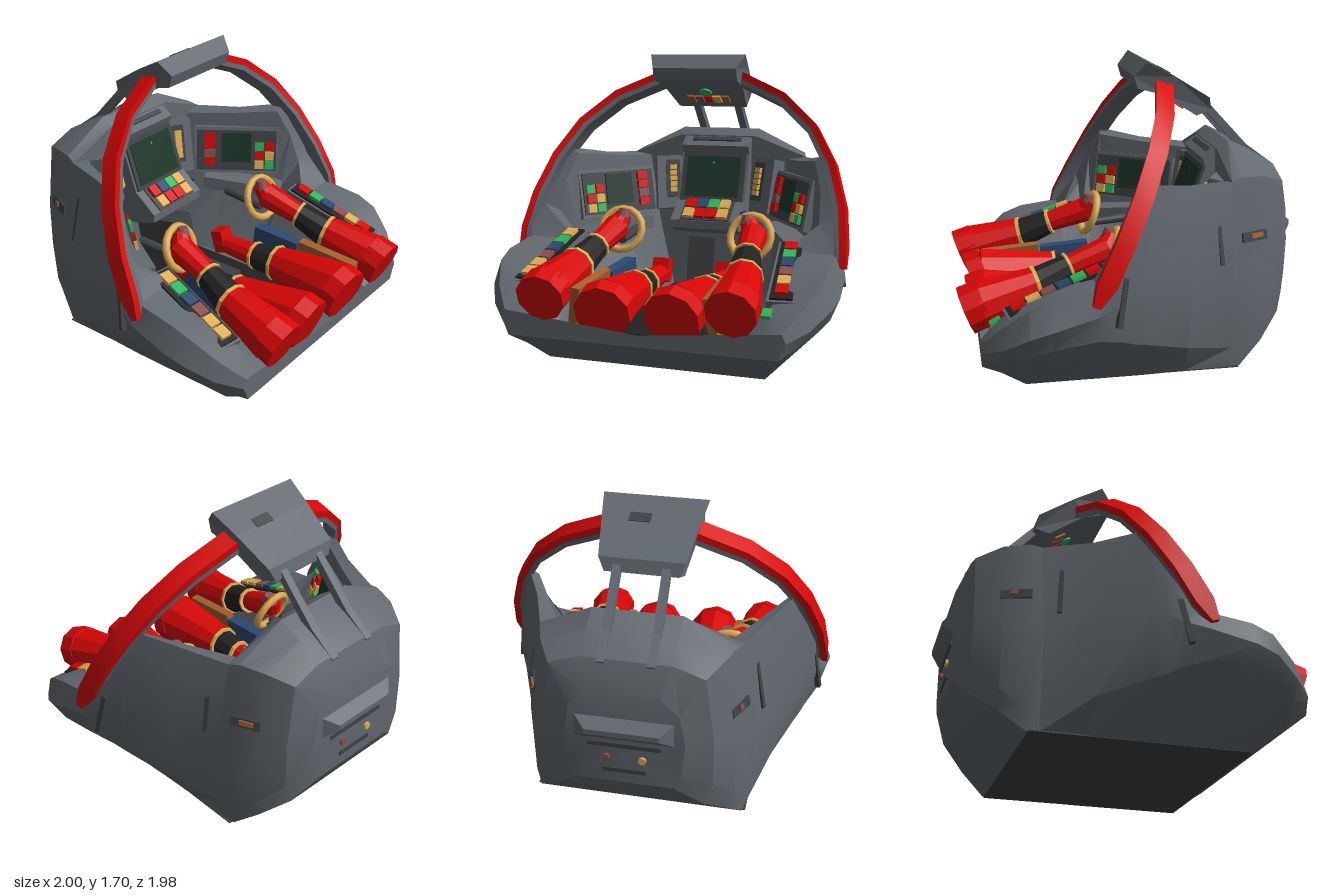
import * as THREE from 'three';
import { toCreasedNormals } from 'three/addons/utils/BufferGeometryUtils.js';

const paint = (name, color) => {
  const m = new THREE.MeshStandardMaterial({ color });
  m.name = name;
  return m;
};
const M = {
  hull: paint('hull grey', 0x62696f), dark: paint('dark grey', 0x3f4245),
  red: paint('red', 0xd80606), black: paint('black', 0x222222),
  gold: paint('gold', 0xe0ae55), brown: paint('brown', 0xa4622f),
  blue: paint('blue', 0x2c4a72), green: paint('green', 0x2fb85c),
  screen: paint('screen green', 0x1c3629), mauve: paint('dusky pink', 0x8c4f4f),
};

function mesh(parent, name, geo, mat, pos = [0, 0, 0], rot = [0, 0, 0]) {
  const m = new THREE.Mesh(geo, mat);
  m.name = name;
  m.position.set(...pos);
  m.rotation.set(...rot, 'YXZ');
  parent.add(m);
  return m;
}
const box = (parent, name, size, mat, pos, rot) => mesh(parent, name, new THREE.BoxGeometry(...size), mat, pos, rot);
function group(parent, name, pos = [0, 0, 0], rot = [0, 0, 0]) {
  const g = new THREE.Group();
  g.name = name;
  g.position.set(...pos);
  g.rotation.set(...rot, 'YXZ');
  parent.add(g);
  return g;
}

// Skin over closed rings of [x, y, z], turned outward by signed volume
function loft(rings, caps = [true, true]) {
  const n = rings[0].length, pos = rings.flat(), idx = [];
  for (let i = 0; i + 1 < rings.length; i++) for (let j = 0; j < n; j++) {
    const a = i * n + j, b = i * n + (j + 1) % n;
    idx.push(a, a + n, b + n, a, b + n, b);
  }
  [0, rings.length - 1].forEach((r, e) => {
    if (!caps[e]) return;
    const c = pos.length;
    pos.push([0, 1, 2].map(k => rings[r].reduce((s, p) => s + p[k], 0) / n));
    for (let j = 0; j < n; j++) {
      const a = r * n + j, b = r * n + (j + 1) % n;
      idx.push(...(e ? [c, b, a] : [c, a, b]));
    }
  });
  const v = pos.map(p => new THREE.Vector3(...p));
  let vol = 0;
  for (let i = 0; i < idx.length; i += 3) vol += v[idx[i]].dot(v[idx[i + 1]].clone().cross(v[idx[i + 2]]));
  if (vol < 0) idx.reverse();
  const g = new THREE.BufferGeometry();
  g.setAttribute('position', new THREE.Float32BufferAttribute(pos.flat(), 3));
  g.setIndex(idx);
  return toCreasedNormals(g, 0.4);
}
// Section row: z, then x, y pairs of the right half, mirrored into a ring
function section([z, ...xy]) {
  const half = [];
  for (let i = 0; i < xy.length; i += 2) half.push([xy[i], xy[i + 1], z]);
  return [...half, ...half.slice().reverse().map(([x, y]) => [-x, y, z])];
}
// Side profile of [z, y] points extruded across x
function slab(profile, width) {
  const s = new THREE.Shape(profile.map(p => new THREE.Vector2(...p)));
  return new THREE.ExtrudeGeometry(s, { depth: width, bevelEnabled: false }).rotateY(-Math.PI / 2).translate(width / 2, 0, 0);
}
// Faceted limb segment between two points
function limb(parent, name, p, q, r1, r2, mat) {
  const a = new THREE.Vector3(...p), d = new THREE.Vector3(...q).sub(a);
  const g = toCreasedNormals(new THREE.CylinderGeometry(r2, r1, d.length(), 10), 0.3);
  const m = mesh(parent, name, g, mat);
  m.position.copy(a).addScaledVector(d, 0.5);
  m.quaternion.setFromUnitVectors(new THREE.Vector3(0, 1, 0), d.normalize());
}
// Grid of coloured keys on a panel facing local z
function keys(parent, cols, rows, dx, dy, x0, y0, mats) {
  for (let r = 0; r < rows; r++) for (let c = 0; c < cols; c++)
    box(parent, 'key', [dx * 0.86, dy * 0.86, 0.025], mats[(r * cols + c) % mats.length],
      [x0 + (c - (cols - 1) / 2) * dx, y0 + ((rows - 1) / 2 - r) * dy, 0.015]);
}

function buildHull(root) {
  const tub = [
    [0.88, 0.76, 0.18, 0.78, 0.23, 0.8, 0.27, 0.78, 0.32, 0.68, 0.3, 0.5, 0.21, 0.45, 0.2],
    [0.775, 0.7, 0.11, 0.84, 0.23, 0.9, 0.32, 0.87, 0.43, 0.7, 0.42, 0.5, 0.27, 0.45, 0.19],
    [0.64, 0.63, 0, 0.92, 0.29, 0.98, 0.4, 0.93, 0.54, 0.68, 0.5, 0.52, 0.34, 0.45, 0.18],
    [0.52, 0.63, 0, 0.95, 0.32, 1, 0.44, 0.94, 0.585, 0.66, 0.54, 0.52, 0.36, 0.45, 0.18],
    [0.28, 0.63, 0, 0.94, 0.35, 0.98, 0.5, 0.93, 0.62, 0.64, 0.62, 0.54, 0.42, 0.45, 0.18],
    [0.14, 0.63, 0, 0.88, 0.31, 0.93, 0.55, 0.91, 0.8, 0.8, 0.76, 0.66, 0.58, 0.42, 0.18],
    [0.07, 0.63, 0, 0.85, 0.28, 0.91, 0.58, 0.86, 0.97, 0.79, 0.94, 0.71, 0.6, 0.41, 0.18],
    [0, 0.63, 0, 0.82, 0.26, 0.89, 0.6, 0.8, 1.135, 0.74, 1.1, 0.71, 0.62, 0.4, 0.18],
    [-0.25, 0.62, 0, 0.72, 0.18, 0.77, 0.6, 0.67, 1.09, 0.6, 1.07, 0.56, 0.64, 0.36, 0.18],
    [-0.515, 0.61, 0, 0.62, 0.12, 0.655, 0.55, 0.57, 1.07, 0.46, 1.05, 0.4, 0.64, 0.3, 0.18],
  ];
  mesh(root, 'cockpit tub', loft(tub.map(section), [true, false]), M.hull);
  const nose = [
    [-0.515, 0.61, 0, 0.62, 0.12, 0.655, 0.55, 0.57, 1.07, 0.25, 1.19],
    [-0.58, 0.6, 0, 0.61, 0.12, 0.635, 0.55, 0.55, 1.09, 0.25, 1.235],
    [-0.72, 0.54, 0.12, 0.57, 0.22, 0.58, 0.6, 0.5, 1.08, 0.25, 1.17],
    [-0.855, 0.42, 0.24, 0.47, 0.38, 0.47, 0.65, 0.42, 1.03, 0.25, 1.09],
    [-0.925, 0.27, 0.37, 0.31, 0.45, 0.33, 0.65, 0.3, 0.83, 0.2, 0.92],
  ];
  mesh(root, 'nose cowl', loft(nose.map(section)), M.hull);
  box(root, 'floor mat', [0.6, 0.02, 1.25], M.black, [0, 0.2, 0.12]);
  box(root, 'base plate', [1.24, 0.006, 1.2], M.dark, [0, 0.001, 0.03]);
  // Nose details
  mesh(root, 'nose ridge', loft([section([-0.9, 0.3, 0.62, 0.3, 0.8]), section([-0.985, 0.2, 0.7, 0.2, 0.73])]), M.hull);
  box(root, 'nose slot', [0.4, 0.025, 0.02], M.dark, [0, 0.61, -0.922]);
  box(root, 'lower slot', [0.24, 0.025, 0.02], M.dark, [0, 0.45, -0.922]);
  [[0.1, M.mauve], [-0.1, M.gold]].forEach(([x, m]) =>
    mesh(root, 'nose lamp', new THREE.CylinderGeometry(0.022, 0.022, 0.03, 8), m, [x, 0.53, -0.925], [Math.PI / 2, 0, 0]));
  for (const s of [1, -1]) {
    const yaw = s * 0.4, lean = s * 0.2;
    box(root, 'side slot', [0.02, 0.28, 0.025], M.dark, [s * 0.652, 0.77, -0.43], [0, yaw, lean]);
    box(root, 'side intake', [0.02, 0.055, 0.17], M.dark, [s * 0.575, 0.76, -0.65], [0, yaw, lean]);
    box(root, 'intake lamp', [0.03, 0.025, s > 0 ? 0.08 : 0.035], s > 0 ? M.brown : M.mauve,
      [s * 0.577, 0.765, -0.66], [0, yaw, lean]);
    box(root, 'hinge plate', [0.03, 0.26, 0.03], M.dark, [s * 0.93, 0.55, 0.16], [-0.2, s * 0.3, s * 0.1]);
  }
}

function buildCanopy(root) {
  // Arch halves: red outer band with a grey lining
  const path = [[0.965, 0.55], [0.96, 0.66], [0.93, 0.86], [0.85, 1.08], [0.72, 1.28], [0.52, 1.445], [0.25, 1.56]];
  const band = (s, outer, inner) => path.map(([x, y], i) => {
    const a = path[Math.max(i - 1, 0)], b = path[Math.min(i + 1, path.length - 1)];
    const n = new THREE.Vector2(b[1] - a[1], a[0] - b[0]).normalize();
    const z = 0.325 - (y - 0.5) * 0.5, w = i === 0 ? 0.02 : 0.05;
    return [[outer, -w], [outer, w], [inner, w], [inner, -w]].map(([o, d]) =>
      [s * (x + n.x * o), y + n.y * o + d * 0.35, z + d]);
  });
  for (const s of [1, -1]) {
    mesh(root, 'arch band', loft(band(s, 0.024, -0.016)), M.red);
    mesh(root, 'arch lining', loft(band(s, -0.016, -0.045)), M.hull);
    mesh(root, 'rear strut', slab([[-0.44, 1.43], [-0.47, 1.46], [-0.72, 1.19], [-0.87, 1.08], [-0.85, 1.04], [-0.69, 1.15]], 0.045)
      .translate(s * 0.135, 0, 0), M.hull);
  }
  // Overhead box: narrowed toward the rear, with a slimmer underside
  const head = slab([[-0.03, 1.62], [-0.1, 1.7], [-0.26, 1.615], [-0.47, 1.485], [-0.49, 1.41], [-0.4, 1.38], [-0.2, 1.51], [-0.05, 1.55]], 2);
  const p = head.attributes.position;
  for (let i = 0; i < p.count; i++) {
    const z = p.getZ(i), under = p.getY(i) < 1.66 + (z + 0.1) * 0.56;
    const w = 0.3 + Math.min(z + 0.08, 0) * 0.16;
    p.setX(i, p.getX(i) * (z > -0.08 ? 0.26 : under ? w - 0.03 : w));
  }
  head.computeVertexNormals();
  mesh(root, 'overhead box', head, M.hull);
  const g = group(root, 'overhead panel', [0, 1.458, -0.309], [0.995, 0, 0]);
  box(g, 'panel back', [0.32, 0.18, 0.03], M.dark);
  keys(g, 5, 1, 0.055, 0.08, 0, -0.02, [M.brown, M.mauve, M.red, M.gold, M.brown]);
  mesh(g, 'scope', new THREE.CylinderGeometry(0.04, 0.04, 0.03, 10), M.green, [0, 0.055, 0.01], [Math.PI / 2, 0, 0]);
  box(root, 'top vent', [0.12, 0.008, 0.06], M.dark, [0.06, 1.626, -0.24], [-0.5, 0, 0]);
}

function buildInstruments(root) {
  // Centre console with main screen
  mesh(root, 'centre console', slab([[-0.54, 1.2], [-0.44, 1.13], [-0.46, 1.08], [-0.36, 0.79], [-0.22, 0.68], [-0.22, 0.63], [-0.3, 0.6], [-0.54, 0.55]], 0.44), M.hull);
  box(root, 'hood slot', [0.32, 0.03, 0.02], M.dark, [0, 1.165, -0.49], [-0.96, 0, 0]);
  box(root, 'console side plate', [0.008, 0.08, 0.1], M.blue, [0.223, 0.7, -0.32]);
  const main = group(root, 'main screen', [0, 0.935, -0.408], [-0.33, 0, 0]);
  box(main, 'screen frame', [0.41, 0.31, 0.02], M.dark);
  box(main, 'screen glass', [0.35, 0.26, 0.03], M.screen);
  box(main, 'screen blip', [0.012, 0.012, 0.034], M.green, [0, 0.09, 0]);
  const pad = group(root, 'key pad', [0, 0.737, -0.288], [-0.9, 0, 0]);
  box(pad, 'pad back', [0.32, 0.17, 0.012], M.dark);
  keys(pad, 4, 2, 0.073, 0.08, 0, 0, [M.red, M.blue, M.green, M.gold, M.gold, M.red, M.red, M.gold]);
  box(root, 'pedestal', [0.17, 0.36, 0.3], M.dark, [0, 0.38, -0.3], [-0.2, 0, 0]);
  box(root, 'pedestal shelf', [0.12, 0.06, 0.35], M.dark, [0, 0.3, 0.05]);

  for (const s of [1, -1]) {
    // Narrow gauge panels beside the console
    const col = group(root, 'gauge panel', [s * 0.285, 0.91, -0.45], [-0.2, -s * 0.5, 0]);
    box(col, 'panel body', [0.2, 0.34, 0.1], M.hull, [0, -0.02, -0.06]);
    box(col, 'panel back', [0.09, 0.24, 0.012], M.dark);
    keys(col, 1, 5, 0.05, 0.036, 0, 0, [M.gold]);
    // Angled wall panels
    const wall = group(root, 'wall panel', [s * 0.55, 0.845, -0.18], [-0.2, -s * 0.95, 0]);
    box(wall, 'panel body', [0.54, 0.3, 0.05], M.hull, [0, 0, -0.03]);
    box(wall, 'panel back', [0.51, 0.26, 0.012], M.dark);
    box(wall, 'side screen', [0.19, 0.19, 0.02], M.screen, [0, 0.02, 0.005]);
    keys(wall, 1, 4, 0.08, 0.055, -s * 0.17, 0.01, [M.red, M.red, M.mauve, M.red]);
    keys(wall, 2, 3, 0.065, 0.06, s * 0.18, -0.03, [M.green, M.red, M.red, M.gold, M.gold, M.green]);
    // Lower shelf under the wall panel
    box(root, 'side shelf', [0.16, 0.08, 0.5], M.hull, [s * 0.56, 0.62, -0.13], [0.1, s * 0.5, 0]);
    // Armrest trays
    const tray = group(root, 'armrest tray', [s * 0.7, 0.56, 0.47], [0.35 - Math.PI / 2, s * 0.13, 0]);
    box(tray, 'tray frame', [0.15, 0.6, 0.06], M.hull, [0, 0, -0.035]);
    box(tray, 'tray back', [0.12, 0.57, 0.015], M.black);
    keys(tray, 1, 6, 0.078, 0.088, 0, 0, s > 0
      ? [M.red, M.green, M.blue, M.mauve, M.gold, M.red] : [M.gold, M.green, M.blue, M.mauve, M.gold, M.gold]);
    // Seat side panels
    box(root, 'blue side panel', [0.07, 0.26, 0.3], M.blue, [s * 0.345, 0.36, 0.29], [0.1, s * 0.08, 0]);
    box(root, 'brown side panel', [0.05, 0.26, 0.38], M.brown, [s * 0.38, 0.35, 0.64], [0.1, s * 0.05, s * 0.15]);
  }
  box(root, 'green lamp', [0.05, 0.02, 0.06], M.green, [0.68, 0.4, 0.8], [0.5, 0, 0]);
}

function buildPilot(root) {
  for (const s of [1, -1]) {
    // Forearm, glove and control ring
    const arm = group(root, 'arm');
    limb(arm, 'sleeve end', [s * 0.53, 0.415, 0.945], [s * 0.53, 0.455, 0.84], 0.14, 0.135, M.red);
    limb(arm, 'sleeve', [s * 0.53, 0.44, 0.87], [s * 0.49, 0.525, 0.56], 0.138, 0.1, M.red);
    limb(arm, 'cuff trim', [s * 0.49, 0.522, 0.57], [s * 0.487, 0.527, 0.55], 0.107, 0.107, M.gold);
    limb(arm, 'cuff', [s * 0.487, 0.527, 0.55], [s * 0.455, 0.6, 0.38], 0.095, 0.075, M.black);
    limb(arm, 'wrist trim', [s * 0.455, 0.6, 0.385], [s * 0.452, 0.605, 0.37], 0.083, 0.083, M.gold);
    limb(arm, 'glove', [s * 0.452, 0.605, 0.37], [s * 0.425, 0.68, 0.15], 0.065, 0.08, M.red);
    limb(arm, 'knuckles', [s * 0.425, 0.67, 0.17], [s * 0.385, 0.755, 0.12], 0.07, 0.045, M.red);
    limb(arm, 'thumb', [s * 0.385, 0.74, 0.14], [s * 0.38, 0.79, 0.13], 0.04, 0.03, M.mauve);
    mesh(root, 'control ring', new THREE.TorusGeometry(0.125, 0.023, 6, 16), M.gold, [s * 0.4, 0.665, 0.13], [-0.35, -s * 0.1, 0]);
    limb(root, 'ring stem', [s * 0.42, 0.62, -0.15], [s * 0.4, 0.6, 0.13], 0.03, 0.025, M.dark);
    // Leg and boot
    const leg = group(root, 'leg');
    limb(leg, 'thigh end', [s * 0.195, 0.345, 0.89], [s * 0.2, 0.375, 0.8], 0.16, 0.16, M.red);
    limb(leg, 'trouser leg', [s * 0.2, 0.365, 0.83], [s * 0.215, 0.37, 0.39], 0.16, 0.105, M.red);
    limb(leg, 'knee trim', [s * 0.215, 0.37, 0.395], [s * 0.215, 0.37, 0.375], 0.112, 0.112, M.gold);
    limb(leg, 'knee band', [s * 0.215, 0.37, 0.38], [s * 0.21, 0.37, 0.23], 0.095, 0.08, M.black);
    limb(leg, 'boot trim', [s * 0.21, 0.37, 0.24], [s * 0.21, 0.37, 0.22], 0.088, 0.088, M.gold);
    limb(leg, 'boot', [s * 0.21, 0.37, 0.22], [s * 0.2, 0.38, -0.04], 0.07, 0.055, M.red);
    box(leg, 'foot', [0.1, 0.14, 0.08], M.red, [s * 0.2, 0.4, -0.02], [-0.3, 0, 0]);
  }
}

export function createModel() {
  const root = new THREE.Group();
  root.name = 'cockpit';
  buildHull(root);
  buildCanopy(root);
  buildInstruments(root);
  buildPilot(root);
  return root;
}
